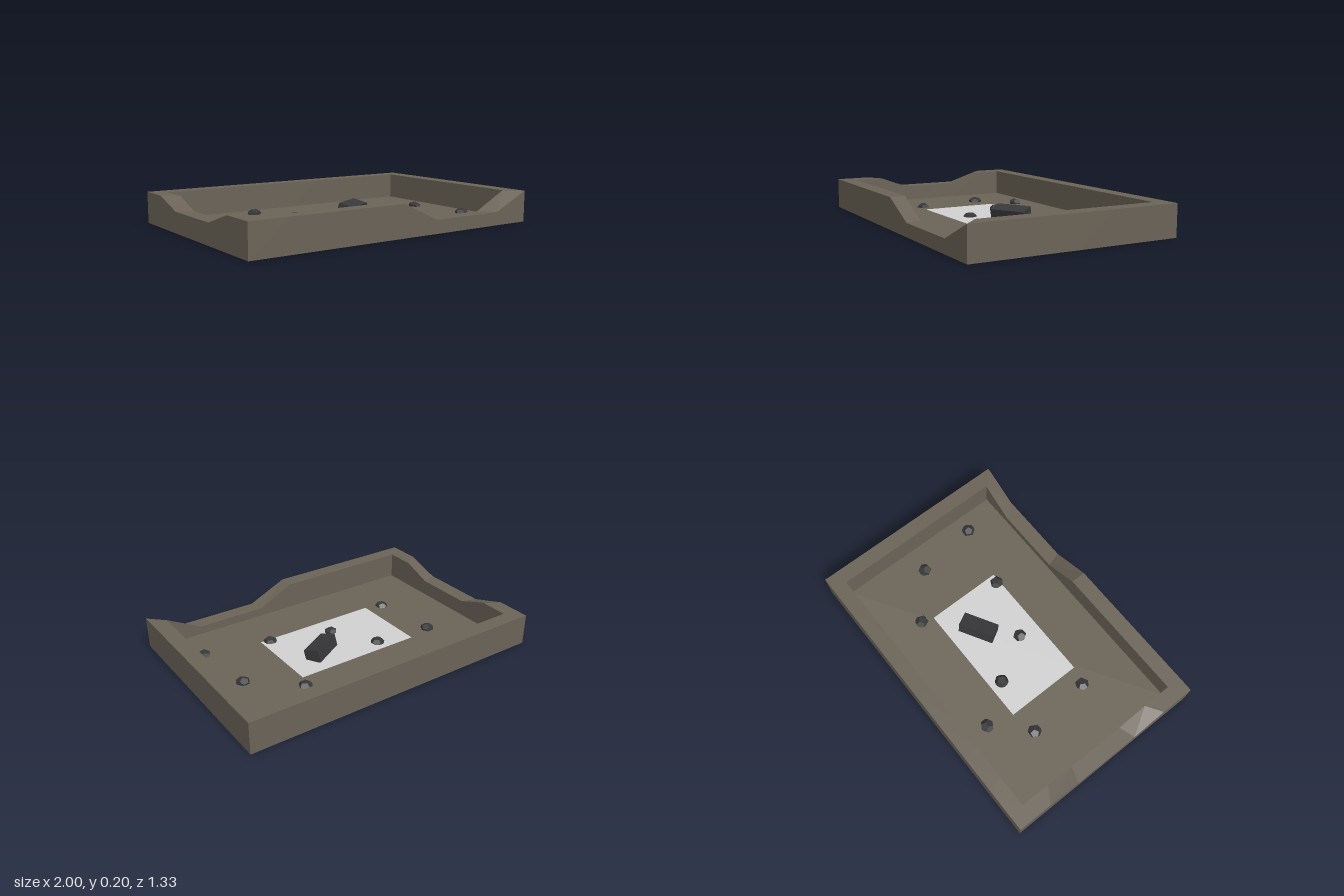
import * as THREE from 'three';

const BASE = 0.003, TOP = 0.203, FLOOR = 0.033;
const X = 1, Z = 0.667, IN_X = 0.9, IN_Z = 0.855; // inner rim = outer rim scaled

export function createModel() {
  const group = new THREE.Group();
  const mat = (name, color, extra = {}) => {
    const m = new THREE.MeshStandardMaterial({ color, ...extra });
    m.name = name;
    return m;
  };
  const earth = mat('brown earth', 0x6b6357, { flatShading: true });
  const pale = mat('pale grey', 0xd2d2d2);
  const stone = mat('dark stone', 0x38383a, { flatShading: true });
  const add = (name, geometry, material) => {
    const mesh = new THREE.Mesh(geometry, material);
    mesh.name = name;
    group.add(mesh);
    return mesh;
  };

  // Rim points, anticlockwise from above: 8 steps on long sides, 6 on short ones
  const rim = [];
  for (let i = 0; i < 8; i++) rim.push([-X + i * 0.25, Z]);
  for (let i = 0; i < 6; i++) rim.push([X, Z - (i * Z) / 3]);
  for (let i = 0; i < 8; i++) rim.push([X - i * 0.25, -Z]);
  for (let i = 0; i < 6; i++) rim.push([-X, -Z + (i * Z) / 3]);

  // Broken stretches in the front and the -x wall
  const heightAt = ([x, z]) => {
    if (z === Z && x > 0.2 && x < 0.8) return 0.087;
    if (x === -X && Math.abs(z) < 0.3) return 0.133;
    return TOP;
  };

  const pos = [];
  const quad = (a, b, c, d) => pos.push(...a, ...b, ...c, ...a, ...c, ...d);
  rim.forEach((p, i) => {
    const q = rim[(i + 1) % rim.length];
    const outer = ([x, z], y) => [x, y, z];
    const inner = ([x, z], y) => [x * IN_X, y, z * IN_Z];
    const hp = heightAt(p), hq = heightAt(q);
    quad(outer(p, BASE), outer(q, BASE), outer(q, hq), outer(p, hp));
    quad(outer(p, hp), outer(q, hq), inner(q, hq), inner(p, hp));
    quad(inner(p, hp), inner(q, hq), inner(q, FLOOR), inner(p, FLOOR));
  });
  const walls = new THREE.BufferGeometry();
  walls.setAttribute('position', new THREE.Float32BufferAttribute(pos, 3));
  walls.computeVertexNormals();
  add('walls', walls, earth);

  // Floor, underside and pale sheet
  const plane = (w, d, y, dir) =>
    new THREE.PlaneGeometry(w, d).rotateX((-dir * Math.PI) / 2).translate(0, y, 0);
  add('floor', plane(2 * X * IN_X, 2 * Z * IN_Z, FLOOR, 1), earth);
  add('underside', plane(2 * X, 2 * Z, BASE, -1), earth);
  add('floorSheet', plane(0.833, 0.5, FLOOR + 0.003, 1), pale);

  // Tilted block resting on the sheet
  const block = add('fallenBlock', new THREE.BoxGeometry(0.234, 0.08, 0.1), stone);
  block.position.set(0.168, 0.068, -0.069);
  block.rotation.set(0.25, Math.PI / 6, 0, 'YXZ');

  // Scattered stones: x, z, centre height
  const stones = [
    [-0.37, -0.42, 0.038], [-0.58, -0.21, 0.037], [-0.2, -0.17, 0.038],
    [0.445, -0.325, 0.03], [0.73, -0.09, 0.035], [-0.53, 0.22, 0.031],
    [-0.03, 0.115, 0.033], [0.36, 0.23, 0.036], [0.785, 0.32, 0.035],
  ];
  stones.forEach(([x, z, y], i) => {
    const g = new THREE.DodecahedronGeometry(0.045, 0)
      .rotateX(i * 1.3).rotateY(i * 2.1).scale(1, 0.68, 1).translate(x, y, z);
    add('stone', g, stone);
  });
  return group;
}
